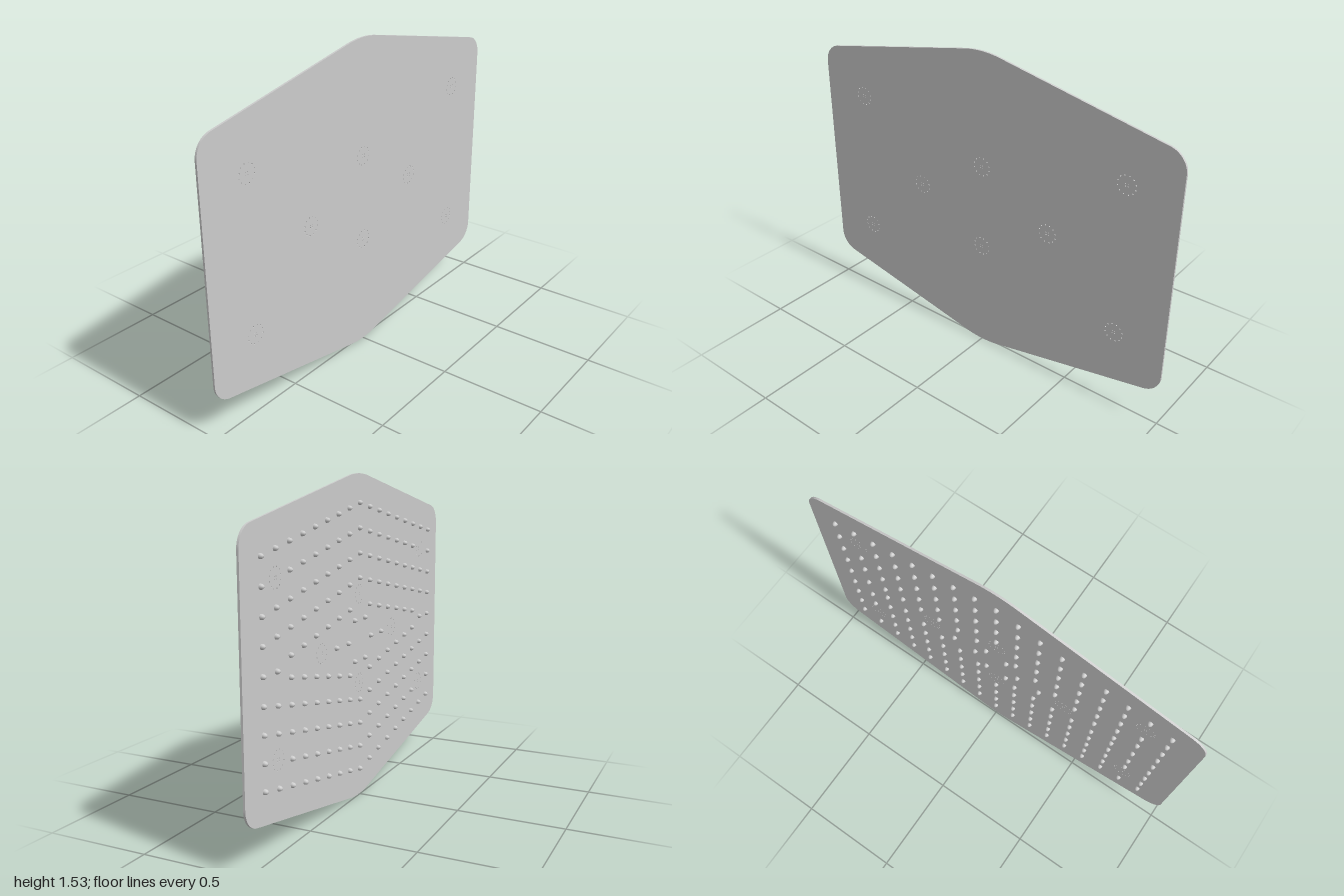
import * as THREE from 'three';

const MID = 0.765;      // height of the horizontal mirror line
const BACK = 0.004;     // rear face of the plate
const THICK = 0.01;
const STUD_H = 0.018;

// Magnet seats: quincunx of inner seats plus four near the corners
const seats = [
  [0, 0.98], [0, 0.555], [0.375, MID], [-0.375, MID],
  [0.75, 1.135], [-0.75, 1.135], [0.75, 0.4], [-0.75, 0.4],
];

// Hexagonal outline with rounded corners
function plateShape() {
  const a = Math.atan(5), P = Math.PI;
  const s = new THREE.Shape();
  s.absarc(0.9, 1.259, 0.1, 0, a, false);
  s.absarc(0, 1.031, 0.5, a, P - a, false);
  s.absarc(-0.9, 1.259, 0.1, P - a, P, false);
  s.absarc(-0.9, 0.271, 0.1, P, P + a, false);
  s.absarc(0, 0.5, 0.5, P + a, 2 * P - a, false);
  s.absarc(0.9, 0.271, 0.1, -a, 0, false);
  s.closePath();
  return s;
}

// Tiny square pinhole
function pinhole(x, y, r = 0.0025) {
  const h = new THREE.Path();
  h.moveTo(x - r, y - r);
  h.lineTo(x - r, y + r);
  h.lineTo(x + r, y + r);
  h.lineTo(x + r, y - r);
  h.closePath();
  return h;
}

// Stud positions: rows run parallel to the sloping edges, mirrored both ways
function studPositions() {
  const out = [];
  for (let i = -8; i <= 8; i++) {
    const x = i * 0.1075, col = Math.abs(i);
    for (let k = 0; k <= 4; k++) {
      if (col === 7 && k === 1) continue;   // seat takes this place
      if (col === 0 && k === 4) continue;
      const dy = 0.635 - 0.2 * Math.abs(x) - 0.115 * k;
      if (k === 4 && col >= 7) out.push([x, MID]);
      else out.push([x, MID + dy], [x, MID - dy]);
    }
  }
  // Small cluster in the middle
  for (const s of [-1, 1]) {
    out.push([s * 0.24, MID], [s * 0.12, MID], [s * 0.056, MID + 0.097], [s * 0.056, MID - 0.097]);
  }
  return out;
}

export function createModel() {
  const group = new THREE.Group();
  group.name = 'studdedPlate';
  const mat = new THREE.MeshStandardMaterial({ color: 0xcccccc });

  // Plate with a ring of pinholes around each seat
  const shape = plateShape();
  for (const [x, y] of seats) {
    for (let i = 0; i < 12; i++) {
      const t = ((i + 0.5) / 12) * Math.PI * 2;
      shape.holes.push(pinhole(x + 0.044 * Math.cos(t), y + 0.044 * Math.sin(t)));
    }
    for (const sx of [-1, 1]) for (const sy of [-1, 1]) {
      shape.holes.push(pinhole(x + sx * 0.006, y + sy * 0.006, 0.002));
    }
  }
  const plate = new THREE.Mesh(
    new THREE.ExtrudeGeometry(shape, { depth: THICK, bevelEnabled: false, curveSegments: 16 }), mat);
  plate.position.z = BACK;
  plate.name = 'plate';
  group.add(plate);

  // Rounded studs on the back
  const profile = [[0.012, 0], [0.0115, 0.006], [0.0095, 0.012], [0.0055, 0.0165], [0, STUD_H]]
    .map(([r, h]) => new THREE.Vector2(r, h));
  const studGeo = new THREE.LatheGeometry(profile, 12);
  studGeo.rotateX(-Math.PI / 2);
  const studs = new THREE.Group();
  studs.name = 'studs';
  for (const [x, y] of studPositions()) {
    const stud = new THREE.Mesh(studGeo, mat);
    stud.name = 'stud';
    stud.position.set(x, y, BACK);
    studs.add(stud);
  }
  group.add(studs);
  return group;
}
